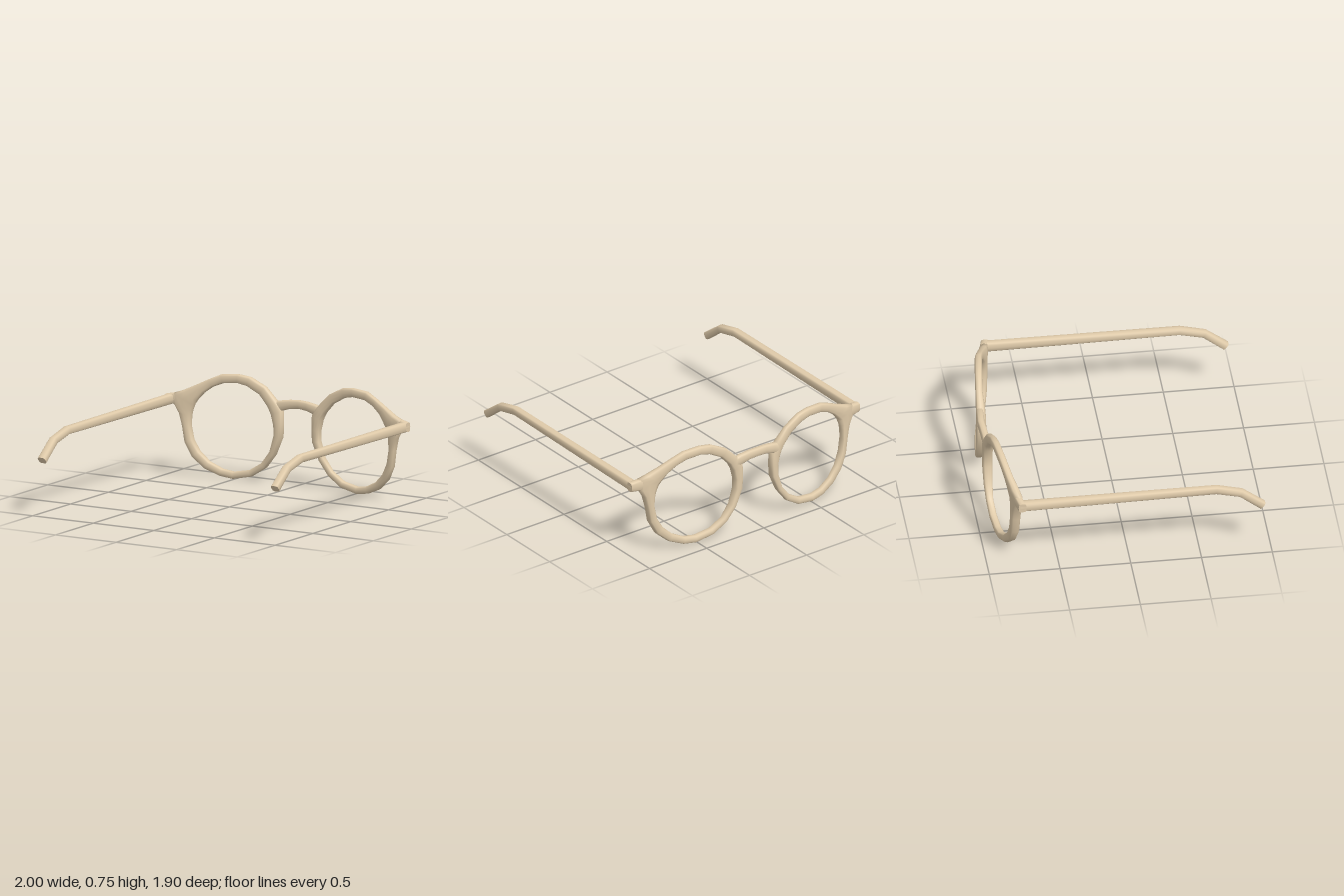
import * as THREE from 'three';

const V = (x, y, z) => new THREE.Vector3(x, y, z);
const SIDES = 12;

// Rounded cross-section around c, spanned by the half-axes u and v
function ring(c, u, v, power = 0.68) {
  const soft = (t) => Math.sign(t) * Math.pow(Math.abs(t), power);
  return Array.from({ length: SIDES }, (_, j) => {
    const a = (j / SIDES) * Math.PI * 2;
    return c.clone().addScaledVector(u, soft(Math.cos(a))).addScaledVector(v, soft(Math.sin(a)));
  });
}

// Skin over a row of cross-sections; side -1 mirrors it in x
function loft(rings, closed, side = 1) {
  const pos = [], index = [], n = rings.length;
  const add = (p) => pos.push(p.x * side, p.y, p.z) / 3 - 1;
  const tri = (a, b, c) => (side > 0 ? index.push(a, b, c) : index.push(a, c, b));
  rings.forEach((r) => r.forEach(add));
  for (let i = 0; i < (closed ? n : n - 1); i++) {
    for (let j = 0; j < SIDES; j++) {
      const k = (j + 1) % SIDES, m = ((i + 1) % n) * SIDES;
      tri(i * SIDES + j, m + j, i * SIDES + k);
      tri(i * SIDES + k, m + j, m + k);
    }
  }
  if (!closed) {
    [rings[0], rings[n - 1]].forEach((r, end) => {
      const mid = add(r.reduce((s, p) => s.add(p), V(0, 0, 0)).divideScalar(SIDES));
      const ids = r.map(add);
      ids.forEach((id, j) => {
        const next = ids[(j + 1) % SIDES];
        end ? tri(mid, next, id) : tri(mid, id, next);
      });
    });
  }
  const g = new THREE.BufferGeometry();
  g.setAttribute('position', new THREE.Float32BufferAttribute(pos, 3));
  g.setIndex(index);
  g.computeVertexNormals();
  return g;
}

// Wrap of the front frame: depth at each distance from the middle
const WRAP = [-0.923, -0.907, -0.887, -0.861, -0.815, -0.768];
function wrapZ(x) {
  const t = Math.min(Math.abs(x) / 0.2, 4.999), i = Math.floor(t);
  return THREE.MathUtils.lerp(WRAP[i], WRAP[i + 1], t - i);
}

// Outer outline of one rim, counter-clockwise from the temple side
const OUTLINE = [
  [0.876, 0.36], [0.9, 0.45], [0.938, 0.515], [0.94, 0.588], [0.875, 0.61], [0.78, 0.655], [0.69, 0.7],
  [0.6, 0.74], [0.47, 0.75], [0.38, 0.738], [0.26, 0.678], [0.17, 0.585], [0.126, 0.52],
  [0.123, 0.42], [0.128, 0.33], [0.183, 0.2], [0.26, 0.098], [0.37, 0.028], [0.51, 0],
  [0.61, 0.014], [0.72, 0.06], [0.808, 0.138], [0.858, 0.24],
];

function rimGeometry(side) {
  const cx = 0.504, cy = 0.37, hole = 0.318;
  return loft(OUTLINE.map(([x, y]) => {
    const a = Math.atan2(y - cy, x - cx);
    const ix = cx + hole * Math.cos(a), iy = cy + hole * Math.sin(a);
    // Nose side and temple side are deeper towards the face
    const nose = 0.01 * THREE.MathUtils.clamp((0.24 - x) / 0.1, 0, 1);
    const extra = nose + 0.007 * THREE.MathUtils.clamp((x - 0.75) / 0.12, 0, 1);
    const outer = V(x, y, wrapZ(x) + extra), inner = V(ix, iy, wrapZ(ix) + extra);
    return ring(outer.clone().add(inner).multiplyScalar(0.5),
      outer.clone().sub(inner).multiplyScalar(0.5), V(0, 0, 0.026 + extra));
  }), true, side);
}

// Tapers from the rim to the temple corner
function endPieceGeometry(side) {
  const stations = [[0.84, 0.545, 0.04], [0.9, 0.548, 0.046], [0.94, 0.548, 0.041], [0.998, 0.544, 0.034]];
  return loft(stations.map(([x, y, h]) =>
    ring(V(x, y, wrapZ(x) + 0.005), V(0, h, 0), V(0, 0, -0.028), 0.6)), false, side);
}

// Temple arm: z, y, half height, slope of the section
function templeGeometry(side) {
  const stations = [
    [-0.78, 0.543, 0.036, 0], [0.61, 0.549, 0.028, -0.12],
    [0.785, 0.506, 0.027, -0.43], [0.937, 0.388, 0.029, -0.67],
  ];
  return loft(stations.map(([z, y, h, s], i) =>
    ring(V(i ? 0.962 : 0.966, y, z), V(0, Math.cos(s) * h, -Math.sin(s) * h),
      V(i ? 0.031 : 0.033, 0, 0), 0.6)), false, side);
}

// Arched bridge, flared where it meets the rims
function bridgeGeometry() {
  const xs = [-0.18, -0.145, -0.07, 0, 0.07, 0.145, 0.18];
  return loft(xs.map((x) => ring(V(x, 0.576 - 1.05 * x * x, wrapZ(x)),
    V(0, 0.031 + 0.35 * x * x, 0), V(0, 0, -0.026))), false);
}

export function createModel() {
  const model = new THREE.Group();
  model.name = 'eyeglasses';
  const material = new THREE.MeshStandardMaterial({ color: 0xe0cbaa });
  const part = (name, geometry) => {
    const mesh = new THREE.Mesh(geometry, material);
    mesh.name = name;
    model.add(mesh);
  };
  part('bridge', bridgeGeometry());
  for (const [label, side] of [['left', 1], ['right', -1]]) {
    part(label + 'Rim', rimGeometry(side));
    part(label + 'EndPiece', endPieceGeometry(side));
    part(label + 'Temple', templeGeometry(side));
  }
  return model;
}
